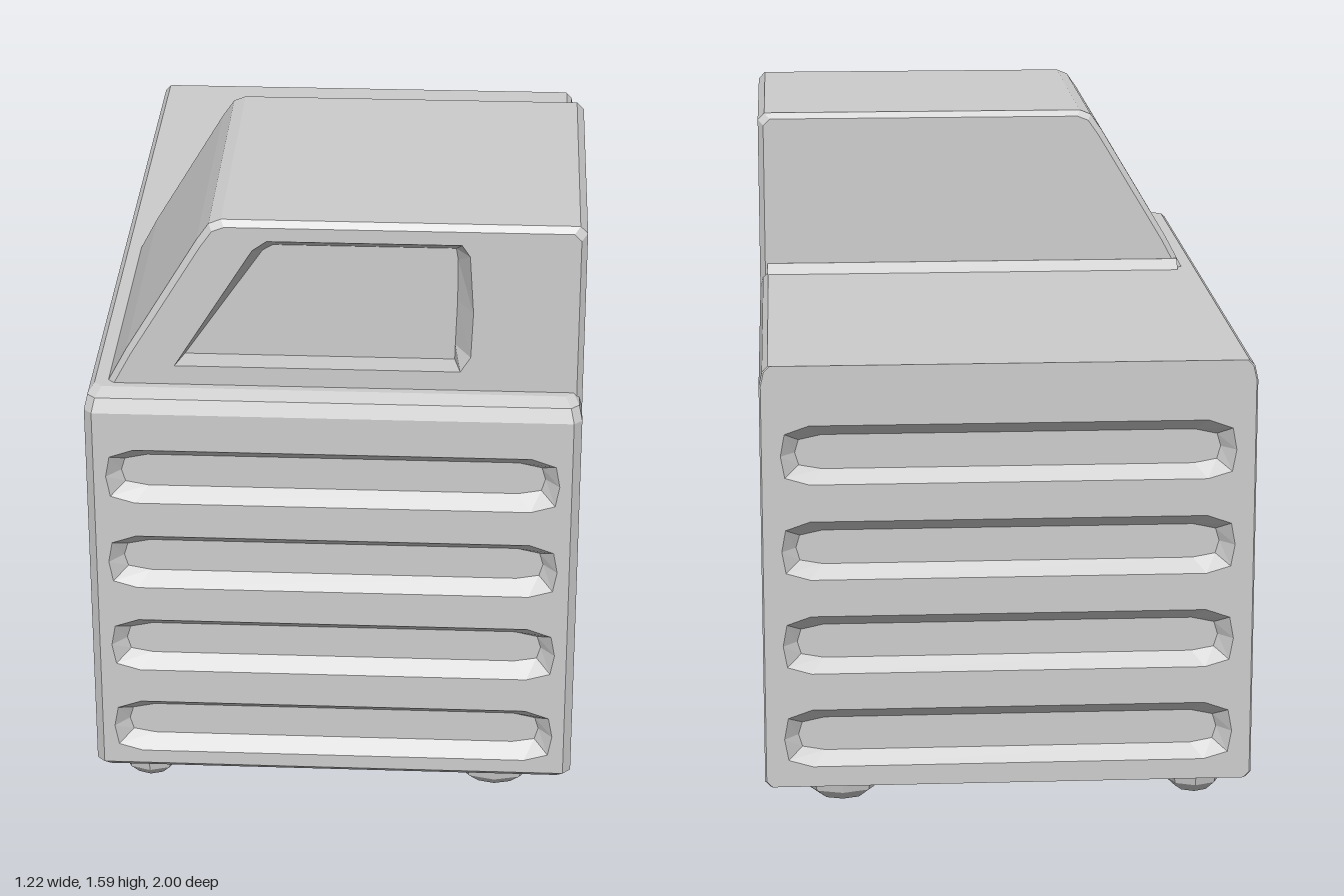
import * as THREE from 'three';
import { mergeGeometries } from 'three/addons/utils/BufferGeometryUtils.js';

const V = (pts) => pts.map(([x, y]) => new THREE.Vector2(x, y));

// Flat-shaded, non-indexed, position-only version of a geometry
function flat(geo) {
  const g = geo.index ? geo.toNonIndexed() : geo;
  g.deleteAttribute('uv');
  g.deleteAttribute('normal');
  g.computeVertexNormals();
  return g;
}

// Skin between counter-clockwise rings {pts, z}; skip(band, segment) leaves gaps
function loft(rings, skip = () => false) {
  const pos = [];
  for (let r = 0; r < rings.length - 1; r++) {
    const a = rings[r], b = rings[r + 1], n = a.pts.length;
    for (let i = 0; i < n; i++) {
      if (skip(r, i)) continue;
      const j = (i + 1) % n;
      const A = [...a.pts[i], a.z], B = [...a.pts[j], a.z];
      const C = [...b.pts[j], b.z], D = [...b.pts[i], b.z];
      pos.push(...A, ...B, ...C, ...A, ...C, ...D);
    }
  }
  const g = new THREE.BufferGeometry();
  g.setAttribute('position', new THREE.Float32BufferAttribute(pos, 3));
  return flat(g);
}

// Flat face at height z, facing +z, or -z when flipped
function cap(pts, z, flip = false, holes = []) {
  const shape = new THREE.Shape(V(pts));
  shape.holes = holes.map((h) => new THREE.Path(V(h)));
  const g = new THREE.ShapeGeometry(shape);
  if (flip) g.index.array.reverse();
  return flat(g.translate(0, 0, z));
}

// Face with sunken recesses {rim, floor, depth}
function panel(outline, z, recesses) {
  const parts = [cap(outline, z, false, recesses.map((r) => r.rim))];
  for (const { rim, floor, depth } of recesses) {
    parts.push(loft([{ pts: rim, z }, { pts: floor, z: z - depth }]), cap(floor, z - depth));
  }
  return mergeGeometries(parts);
}

// Long horizontal groove with tapered ends
function groove(cx, cy, w) {
  const half = [[w - 0.07, -0.073], [w - 0.01, -0.055], [w, 0], [w - 0.01, 0.055], [w - 0.07, 0.076]];
  const loop = [...half, ...half.map(([x, y]) => [-x, y]).reverse()];
  return {
    rim: loop.map(([x, y]) => [cx + x, cy + y]),
    floor: loop.map(([x, y]) => [cx + x * (1 - 0.035 / w), cy + y * 0.58]),
    depth: 0.04,
  };
}

// Plan outline of the body: small chamfers, sharper at the back
function bodyRing(y, inX, inFront) {
  const X = 0.61 - inX, F = -1 + inFront, f = 0.02, b = 0.004;
  return {
    z: y,
    pts: [[-X + f, F], [X - f, F], [X, F + f], [X, 1 - b], [X - b, 1], [-X + b, 1], [-X, 1 - b], [-X, F + f]],
  };
}

export function createModel() {
  const model = new THREE.Group();
  const grey = new THREE.MeshStandardMaterial({ color: 0xcccccc });
  grey.name = 'light grey';
  const add = (name, geo) => {
    const mesh = new THREE.Mesh(geo, grey);
    mesh.name = name;
    model.add(mesh);
    return mesh;
  };

  // Body shell: bevelled edges, with the four sides left open for the panels
  const rings = [
    bodyRing(0.07, 0.015, 0.015), bodyRing(0.085, 0, 0), bodyRing(1.1, 0, 0),
    bodyRing(1.135, 0.008, 0.015), bodyRing(1.15, 0.022, 0.05),
  ];
  add('bodyShell', mergeGeometries([
    loft(rings, (band, seg) => band === 1 && seg % 2 === 0),
    cap(rings[0].pts, 0.07, true),
    cap(rings[4].pts, 1.15),
  ]).rotateX(-Math.PI / 2));

  // Grooved side panels: [name, x from, x to, distance, turn, groove centre, groove half length]
  const sides = [
    ['frontPanel', -0.59, 0.59, 1, 0, 0, 0.56],
    ['backPanel', -0.606, 0.606, 1, Math.PI, 0, 0.56],
    ['leftPanel', -0.98, 0.996, 0.61, Math.PI / 2, -0.01, 0.94],
    ['rightPanel', -0.996, 0.98, 0.61, -Math.PI / 2, 0.01, 0.94],
  ];
  for (const [name, x0, x1, dist, turn, cx, w] of sides) {
    const outline = [[x0, 0.085], [x1, 0.085], [x1, 1.1], [x0, 1.1]];
    const grooves = [0, 1, 2, 3].map((i) => groove(cx, 0.195 + i * 0.243, w));
    add(name, panel(outline, dist, grooves).rotateY(turn));
  }

  // Cab: slanted on one side, flush with the body on the other
  const outer = [
    [-0.555, 1.09], [0.61, 1.09], [0.61, 1.572], [0.592, 1.59], [-0.27, 1.59],
    [-0.3, 1.578], [-0.33, 1.535], [-0.51, 1.235], [-0.555, 1.15],
  ];
  const inner = outer.map(([x, y]) => [0.03 + (x - 0.03) * 0.975, 1.09 + (y - 1.09) * 0.97]);
  add('cabShell', mergeGeometries([
    loft([
      { pts: inner, z: 0.128 }, { pts: outer, z: 0.143 },
      { pts: outer, z: 0.915 }, { pts: inner, z: 0.93 },
    ]),
    cap(inner, 0.128, true),
  ]));

  // Front of the cab with its sunken window
  add('cabWindowPanel', panel(inner, 0.93, [{
    rim: [[-0.39, 1.2], [0.31, 1.2], [0.335, 1.24], [0.34, 1.36], [0.33, 1.51], [0.31, 1.54], [-0.16, 1.54], [-0.195, 1.515]],
    floor: [[-0.37, 1.2], [0.295, 1.2], [0.296, 1.24], [0.3, 1.36], [0.3, 1.47], [0.295, 1.5], [-0.15, 1.5], [-0.175, 1.485]],
    depth: 0.07,
  }]));

  // Small fillet where the cab meets the rear deck
  const fillet = new THREE.Shape(V([[-0.14, 1.145], [-0.095, 1.149], [-0.127, 1.175], [-0.14, 1.175]]));
  add('cabFillet', flat(new THREE.ExtrudeGeometry(fillet, { depth: 1.13, bevelEnabled: false })
    .rotateY(Math.PI / 2).translate(-0.54, 0, 0)));

  // Four faceted feet
  const profile = V([[0, 0], [0.55, 0], [0.88, 0.025], [1, 0.075]]);
  for (const [side, x, rx] of [['Left', 0.415, 0.105], ['Right', -0.48, 0.08]]) {
    for (const [end, z, rz] of [['front', 0.89, 0.065], ['back', -0.86, 0.08]]) {
      const foot = new THREE.LatheGeometry(profile, 8).scale(rx, 1, rz).translate(x, 0, z);
      add(`${end}${side}Foot`, flat(foot));
    }
  }
  return model;
}
